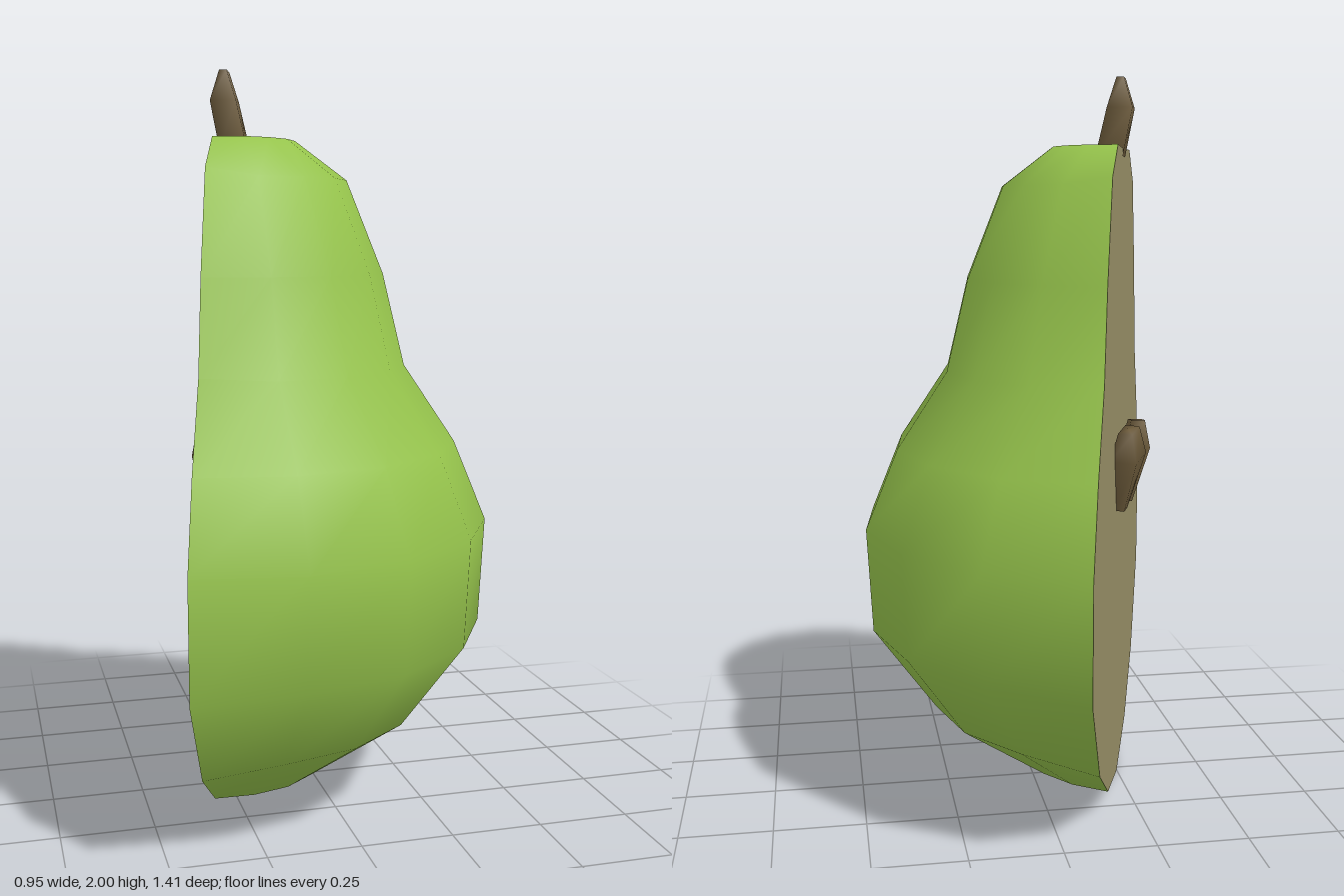
import * as THREE from 'three';
import { mergeVertices } from 'three/addons/utils/BufferGeometryUtils.js';

const paint = (color) => new THREE.MeshStandardMaterial({ color });

// Surface through columns of [x, y, z] points; columns run from +x towards +z, points run upwards
function loft(columns) {
  const n = columns[0].length;
  const index = [];
  for (let i = 0; i < columns.length - 1; i++) {
    for (let j = 0; j < n - 1; j++) {
      const a = i * n + j, b = a + n;
      index.push(a, a + 1, b, b, a + 1, b + 1);
    }
  }
  let geometry = new THREE.BufferGeometry();
  geometry.setAttribute('position', new THREE.Float32BufferAttribute(columns.flat(2), 3));
  geometry.setIndex(index);
  geometry = mergeVertices(geometry);
  geometry.computeVertexNormals();
  return geometry;
}

// Four-sided chip; each row is [y, back x, front x, half width]
function chip(rows) {
  const first = rows[0], last = rows[rows.length - 1];
  const cap = ([y, x0, x1]) => [(x0 + x1) / 2, y, 0];
  const column = (side, sign) => [
    cap(first),
    ...rows.map((r) => [r[side], r[0], sign * r[3]]),
    cap(last),
  ];
  return loft([column(2, -1), column(2, 1), column(1, 1), column(1, -1), column(2, -1)]);
}

export function createModel() {
  const pear = new THREE.Group();
  pear.name = 'halfPear';
  pear.position.set(-0.25, 0, -0.02);
  pear.rotation.y = -0.314;

  // Profiles as [radius, y]: rim of the cut, and the slightly tighter skin behind it
  const rim = [[0, 0], [0.28, 0.06], [0.52, 0.21], [0.715, 0.47], [0.72, 0.78], [0.63, 1],
    [0.5, 1.22], [0.44, 1.46], [0.335, 1.73], [0.19, 1.815], [0, 1.81]];
  const body = [[0, 0.035], [0.27, 0.06], [0.54, 0.25], [0.715, 0.49], [0.73, 0.78], [0.64, 1],
    [0.5, 1.21], [0.44, 1.46], [0.34, 1.71], [0.2, 1.815], [0, 1.81]];

  // Skin: half turn in eight segments
  const columns = [];
  for (let i = 0; i <= 8; i++) {
    const angle = -Math.PI / 2 + (i * Math.PI) / 8;
    const profile = i === 0 || i === 8 ? rim : body;
    columns.push(profile.map(([r, y]) => [r * Math.cos(angle), y, r * Math.sin(angle)]));
  }
  const skin = new THREE.Mesh(loft(columns), paint(0x96c44c));
  skin.material.side = THREE.DoubleSide;
  skin.name = 'skin';

  // Flat cut face
  const outline = [
    ...rim.map(([r, y]) => new THREE.Vector2(r, y)),
    ...rim.slice(1, -1).reverse().map(([r, y]) => new THREE.Vector2(-r, y)),
  ];
  const cut = new THREE.Mesh(new THREE.ShapeGeometry(new THREE.Shape(outline)), paint(0x968d65));
  cut.rotation.y = -Math.PI / 2;
  cut.name = 'cutFace';

  // Stem
  const brown = paint(0x6e5c3c);
  const stem = new THREE.Mesh(
    chip([[1.79, 0, 0.075, 0.04], [1.92, -0.025, 0.045, 0.038], [2, 0, 0.02, 0.032]]), brown);
  stem.name = 'stem';
  pear.add(skin, cut, stem);

  // Two seeds leaning towards each other at the bottom
  const seedShape = chip([[0, 0, 0.03, 0.015], [0.16, -0.045, 0.03, 0.048], [0.24, -0.03, 0.01, 0.035]]);
  for (const [name, y, z, yaw, lean] of [
    ['rearSeed', 0.82, -0.1, -0.21, -0.2],
    ['frontSeed', 0.8, 0.105, 0.21, 0.12],
  ]) {
    const seed = new THREE.Mesh(seedShape, brown);
    seed.position.set(-0.025, y, z);
    seed.rotation.set(lean, yaw, 0);
    seed.name = name;
    pear.add(seed);
  }

  const model = new THREE.Group();
  model.name = 'pearModel';
  model.add(pear);
  return model;
}
